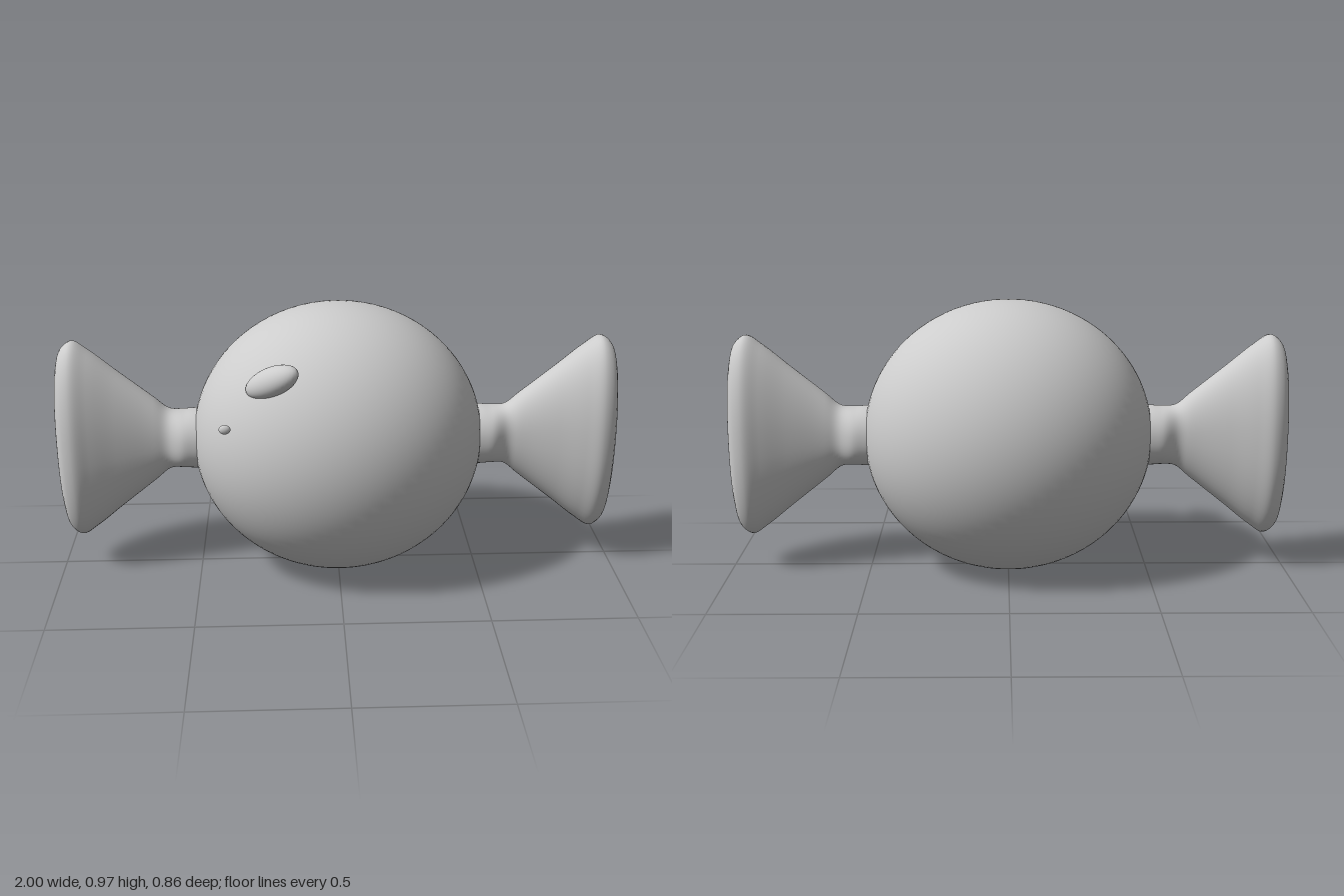
import * as THREE from 'three';

const CENTRE_Y = 0.49;

// Lofts smooth rounded cross-sections along +x; each station is (x, half height, half depth)
function loftFan(stations, rows, sides) {
  const curve = new THREE.CatmullRomCurve3(stations.map((s) => new THREE.Vector3(...s)), false, 'centripetal');
  const positions = [];
  const index = [];
  const round = (v) => Math.sign(v) * Math.pow(Math.abs(v), 0.93);
  for (let i = 0; i <= rows; i++) {
    const p = curve.getPoint(i / rows);
    for (let j = 0; j < sides; j++) {
      const a = (j / sides) * Math.PI * 2;
      positions.push(p.x, p.y * round(Math.cos(a)), p.z * round(Math.sin(a)));
    }
  }
  for (let i = 0; i < rows; i++) {
    for (let j = 0; j < sides; j++) {
      const k = (j + 1) % sides;
      const a = i * sides + j, b = i * sides + k;
      const c = a + sides, d = b + sides;
      index.push(a, b, c, b, d, c);
    }
  }
  // Close the outer face
  const tip = positions.length / 3;
  positions.push(stations.at(-1)[0], 0, 0);
  for (let j = 0; j < sides; j++) index.push(rows * sides + j, rows * sides + ((j + 1) % sides), tip);
  const g = new THREE.BufferGeometry();
  g.setAttribute('position', new THREE.Float32BufferAttribute(positions, 3));
  g.setIndex(index);
  g.computeVertexNormals();
  return g;
}

export function createModel() {
  const group = new THREE.Group();
  const grey = new THREE.MeshStandardMaterial({ color: 0xcccccc });
  grey.name = 'light grey';

  const add = (name, geometry) => {
    const mesh = new THREE.Mesh(geometry, grey);
    mesh.name = name;
    group.add(mesh);
    return mesh;
  };
  const ellipsoid = (name, radii, position, w = 32, h = 20) => {
    const mesh = add(name, new THREE.SphereGeometry(1, w, h));
    mesh.scale.set(...radii);
    mesh.position.set(...position);
    return mesh;
  };

  // Round sweet in the middle
  ellipsoid('candyBody', [0.513, 0.486, 0.43], [0, CENTRE_Y, 0], 72, 48);

  // Twisted wrapper ends: round neck opening into a tall flat fan
  const fan = loftFan([
    [0.44, 0.105, 0.1], [0.51, 0.107, 0.1], [0.55, 0.105, 0.096], [0.6, 0.112, 0.071],
    [0.65, 0.153, 0.075], [0.78, 0.257, 0.105], [0.87, 0.33, 0.131], [0.925, 0.363, 0.144],
    [0.962, 0.338, 0.131], [0.981, 0.28, 0.098], [0.992, 0.17, 0.058], [0.998, 0.005, 0.003],
  ], 66, 48);
  add('leftWrapperEnd', fan).position.y = CENTRE_Y;
  const right = add('rightWrapperEnd', fan);
  right.position.y = CENTRE_Y;
  right.rotation.y = Math.PI;

  // Large glint lying along the body's surface
  const glint = ellipsoid('largeGlint', [0.105, 0.05, 0.044], [-0.229, 0.793, 0.284]);
  const along = new THREE.Vector3(0.09, 0.05, 0.045).normalize();
  const across = new THREE.Vector3(-0.41, 0.6, 0.69).cross(along).normalize();
  const outward = new THREE.Vector3().crossVectors(along, across);
  glint.quaternion.setFromRotationMatrix(new THREE.Matrix4().makeBasis(along, across, outward));

  // Small glint, floating just off the body
  ellipsoid('smallGlint', [0.02, 0.016, 0.012], [-0.387, 0.643, 0.325], 20, 12);

  return group;
}
